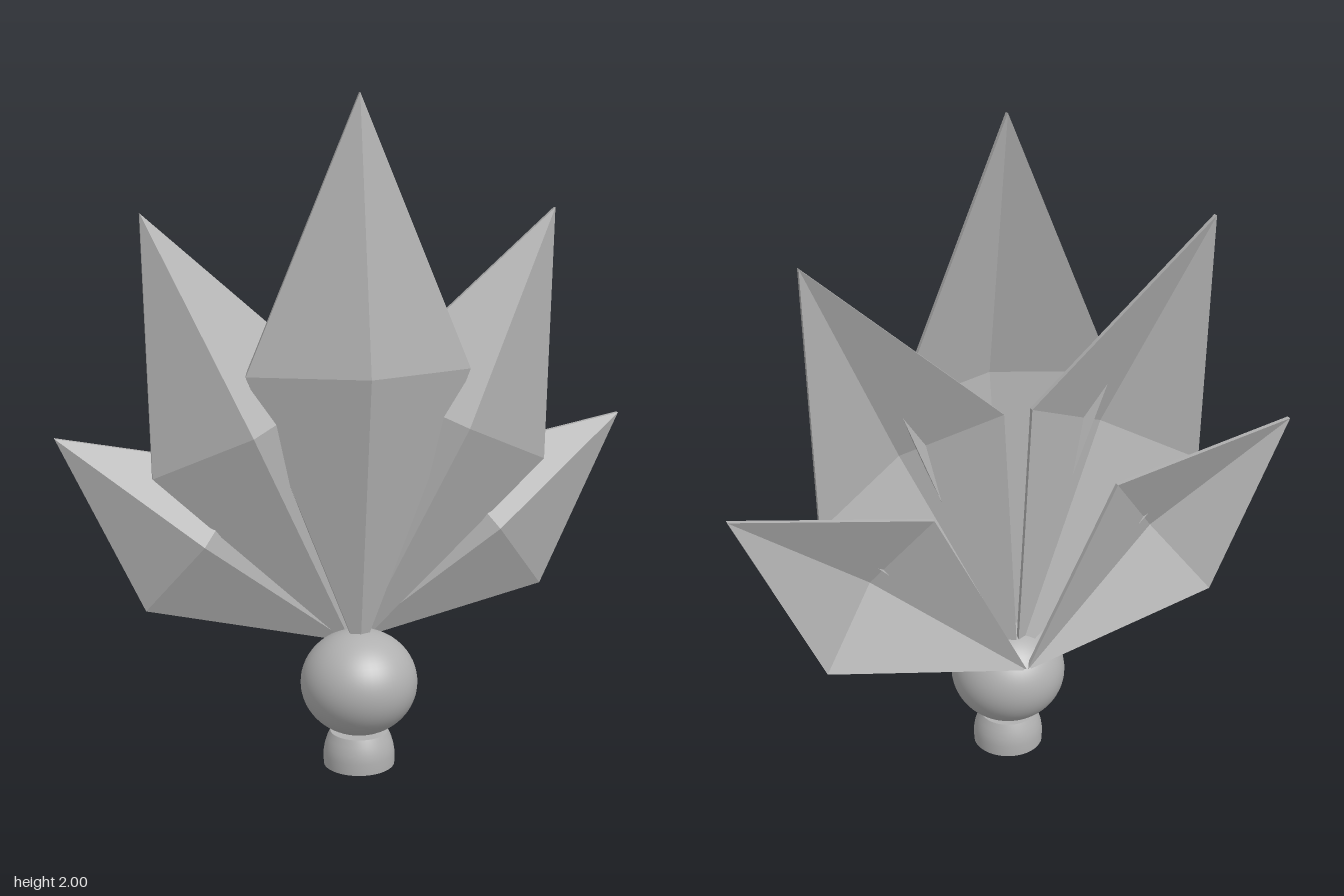
import * as THREE from 'three';

const BASE_Y = 0.34; // point from which all leaves fan out
const RIM = 0.015;   // shell thickness

// Hollow kite-shaped leaf: folded front, recessed back, thin rim. Grows along +y.
function leafGeometry(length, halfWidth, depth) {
  const mid = length * 0.523;
  const outline = [[0, length], [halfWidth, mid], [0, 0], [-halfWidth, mid]];
  const front = outline.map(([x, y]) => [x, y, RIM]);
  const back = outline.map(([x, y]) => [x, y, 0]);
  const peak = [0, mid, depth];
  const hollow = [0, mid, depth - RIM];
  const pos = [];
  const tri = (...corners) => corners.forEach((c) => pos.push(...c));
  for (let i = 0; i < 4; i++) {
    const j = (i + 1) % 4;
    tri(peak, front[j], front[i]);
    tri(hollow, back[i], back[j]);
    tri(front[i], front[j], back[j]);
    tri(front[i], back[j], back[i]);
  }
  const g = new THREE.BufferGeometry();
  g.setAttribute('position', new THREE.Float32BufferAttribute(pos, 3));
  g.computeVertexNormals();
  return g;
}

export function createModel() {
  const model = new THREE.Group();
  model.name = 'leafOrnament';
  const grey = new THREE.MeshStandardMaterial({ color: 0xb0b0b0 });
  grey.name = 'plain grey';

  const add = (name, geometry) => {
    const mesh = new THREE.Mesh(geometry, grey);
    mesh.name = name;
    model.add(mesh);
    return mesh;
  };

  // Foot: short domed pedestal with flat ends
  const foot = [[0.108, 0], [0.109, 0.035], [0.105, 0.06], [0.098, 0.083], [0.088, 0.105]];
  add('foot', new THREE.LatheGeometry(foot.map(([x, y]) => new THREE.Vector2(x, y)), 48));
  const bottom = add('footBottom', new THREE.CircleGeometry(0.108, 48));
  bottom.rotation.x = Math.PI / 2;
  const top = add('footTop', new THREE.CircleGeometry(0.088, 48));
  top.rotation.x = -Math.PI / 2;
  top.position.y = 0.105;

  // Slightly flattened ball
  const ball = add('ball', new THREE.SphereGeometry(0.177, 48, 32));
  ball.scale.y = 0.16 / 0.177;
  ball.position.y = 0.26;

  // Fan of leaves, each layer set further back
  const layers = [
    { name: 'centreLeaf', length: 1.66, width: 0.335, depth: 0.153, z: 0, angle: 0, sides: [0] },
    { name: 'middleLeaf', length: 1.465, width: 0.306, depth: 0.133, z: -0.075, angle: 0.433, sides: [1, -1] },
    { name: 'outerLeaf', length: 1.107, width: 0.27, depth: 0.113, z: -0.15, angle: 0.904, sides: [1, -1] },
  ];
  for (const l of layers) {
    const geometry = leafGeometry(l.length, l.width, l.depth);
    for (const side of l.sides) {
      const prefix = side > 0 ? 'left ' : side < 0 ? 'right ' : '';
      const leaf = add(prefix + l.name, geometry);
      leaf.position.set(0, BASE_Y, l.z);
      leaf.rotation.z = -l.angle * side;
    }
  }
  return model;
}
